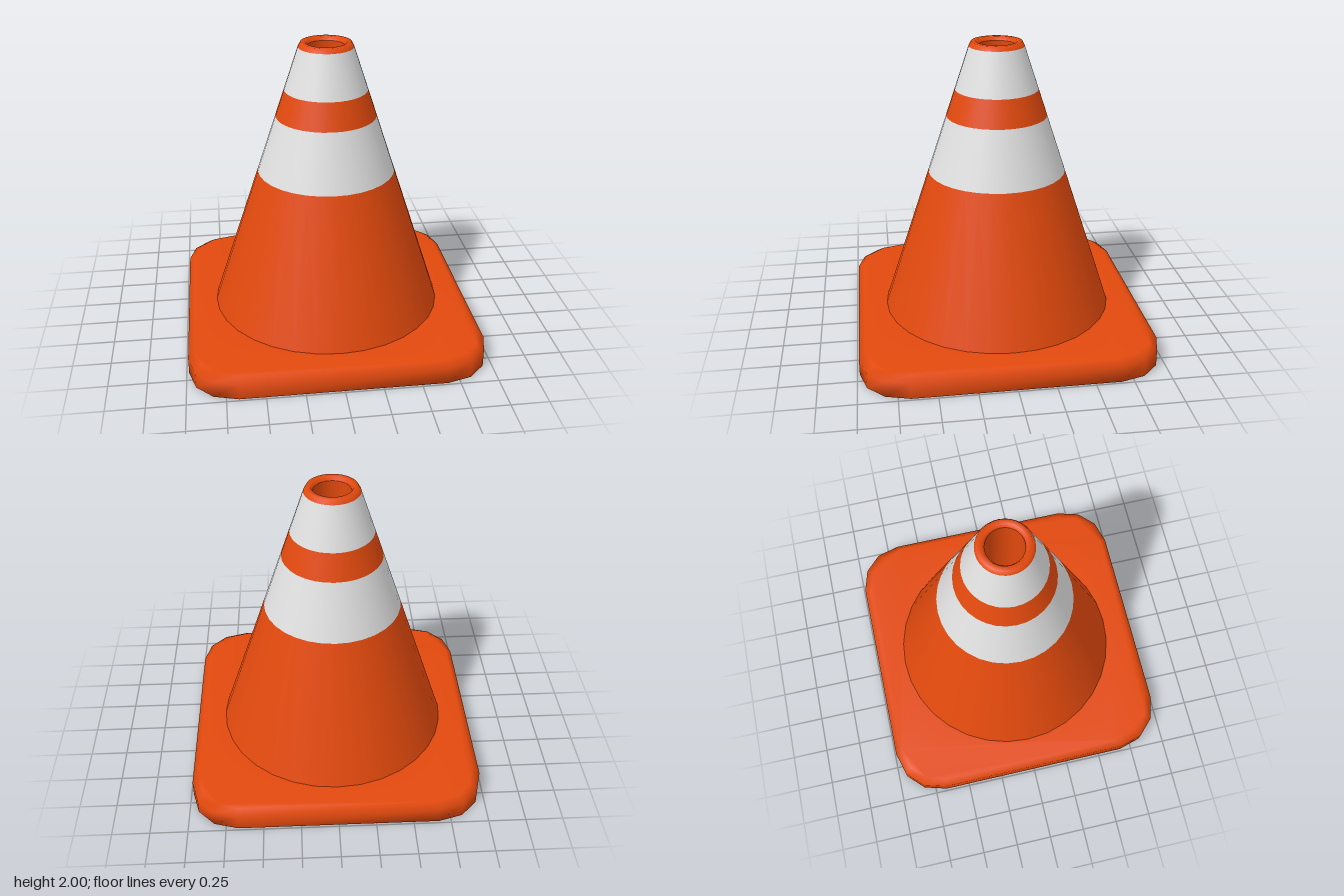
import * as THREE from 'three';

const SEG = 32;
const orange = new THREE.MeshStandardMaterial({ color: 0xe2490d });
const white = new THREE.MeshStandardMaterial({ color: 0xe0e0e0 });
orange.name = 'safetyOrange';
white.name = 'reflectiveWhite';

// Rounded-square outline, counter-clockwise, four points per corner
function outline(scale) {
  const corner = [[0.985, 0.67], [0.94, 0.83], [0.83, 0.94], [0.67, 0.985]];
  const pts = [];
  for (let q = 0; q < 4; q++) {
    for (const [x, y] of corner) {
      pts.push(new THREE.Vector2(x, y).multiplyScalar(scale)
        .rotateAround(new THREE.Vector2(), q * Math.PI / 2));
    }
  }
  return pts;
}

// Clockwise circle used as a hole
function circle(r) {
  return Array.from({ length: SEG }, (_, i) => {
    const a = -i / SEG * Math.PI * 2;
    return new THREE.Vector2(Math.cos(a) * r, Math.sin(a) * r);
  });
}

// Smooth base slab: holed bottom, upright side, bevel, holed top
function baseGeometry() {
  const pos = [], index = [];
  const add = (pts, y) => {
    const start = pos.length / 3;
    pts.forEach(p => pos.push(p.x, y, -p.y));
    return start;
  };
  const wide = outline(1), narrow = outline(0.955), n = wide.length;
  const bottomHole = circle(0.19), topHole = circle(0.785);

  const bottom = add(wide, 0);
  add(bottomHole, 0);
  const middle = add(wide, 0.11);
  const top = add(narrow, 0.145);
  add(topHole, 0.145);

  for (const [a, b, c] of THREE.ShapeUtils.triangulateShape(wide, [bottomHole])) {
    index.push(bottom + a, bottom + c, bottom + b);
  }
  for (const [a, b, c] of THREE.ShapeUtils.triangulateShape(narrow, [topHole])) {
    index.push(top + a, top + b, top + c);
  }
  for (const [lo, hi] of [[bottom, middle], [middle, top]]) {
    for (let i = 0; i < n; i++) {
      const j = (i + 1) % n;
      index.push(lo + i, lo + j, hi + j, lo + i, hi + j, hi + i);
    }
  }
  const geo = new THREE.BufferGeometry();
  geo.setAttribute('position', new THREE.Float32BufferAttribute(pos, 3));
  geo.setIndex(index);
  geo.computeVertexNormals();
  return geo;
}

export function createModel() {
  const model = new THREE.Group();
  model.name = 'trafficCone';

  const addMesh = (name, geo, mat) => {
    const mesh = new THREE.Mesh(geo, mat);
    mesh.name = name;
    model.add(mesh);
  };
  const lathe = pts => new THREE.LatheGeometry(pts.map(p => new THREE.Vector2(...p)), SEG);

  addMesh('base', baseGeometry(), orange);

  // Cone wall split into colour bands
  const radius = y => 0.785 + (0.183 - 0.785) * (y - 0.145) / (1.97 - 0.145);
  const bands = [
    ['lowerCone', 0.145, 1.12, orange],
    ['wideStripe', 1.12, 1.505, white],
    ['middleCone', 1.505, 1.685, orange],
    ['upperStripe', 1.685, 1.97, white],
  ];
  for (const [name, y0, y1, mat] of bands) {
    addMesh(name, lathe([[radius(y0), y0], [radius(y1), y1]]), mat);
  }

  // Rounded lip and the hole running through to the underside
  addMesh('topRim', lathe([[0.183, 1.97], [0.167, 2], [0.135, 2], [0.122, 1.975]]), orange);
  addMesh('innerTube', lathe([[0.122, 1.975], [0.19, 0]]), orange);

  return model;
}
